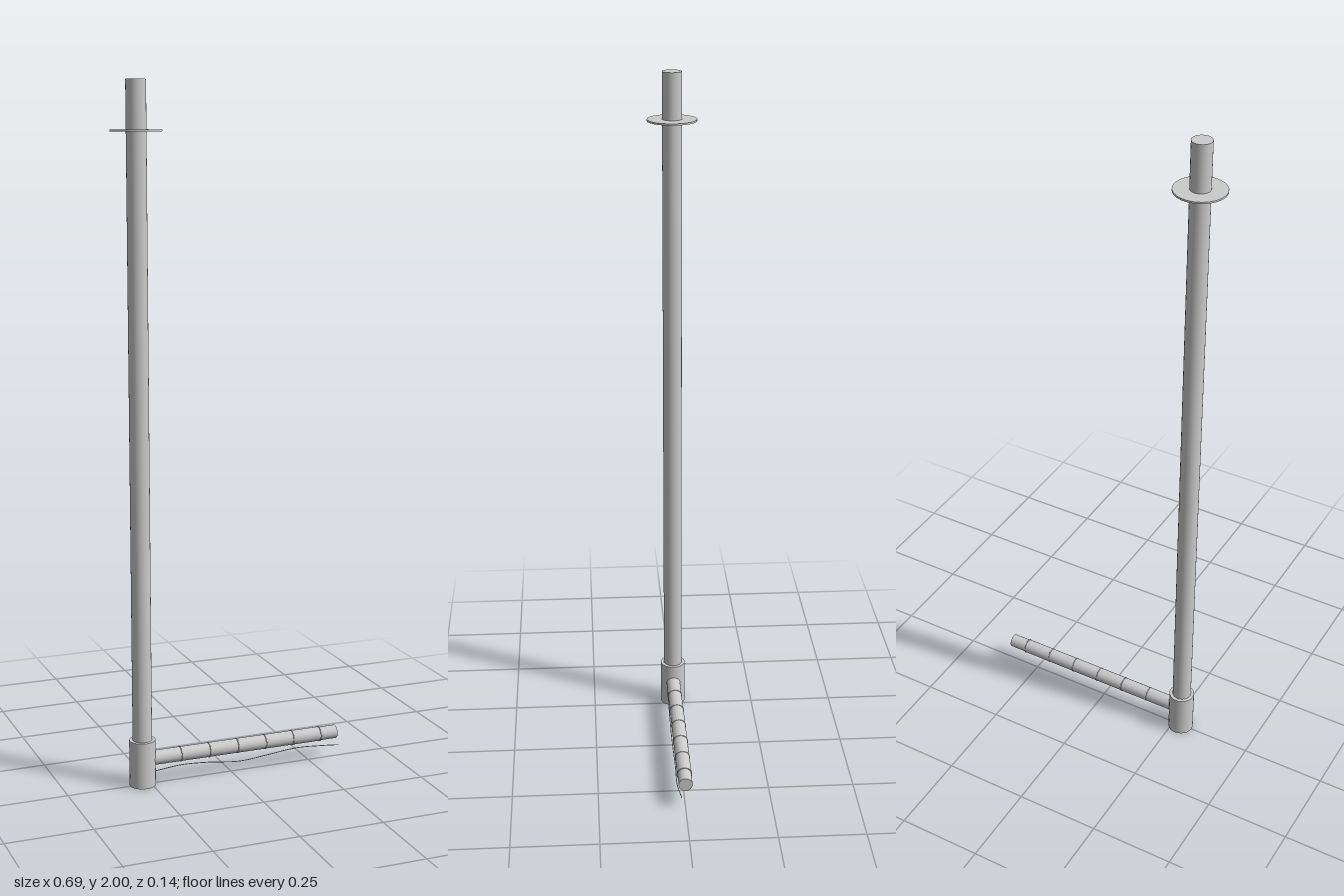
import * as THREE from 'three';

export function createModel() {
  const group = new THREE.Group();
  const material = new THREE.MeshStandardMaterial({ color: 0xcccccc });
  const poleX = -0.275, armY = 0.077;

  const add = (name, geometry, x = 0, y = 0, z = 0) => {
    const mesh = new THREE.Mesh(geometry, material);
    mesh.name = name;
    mesh.position.set(x, y, z);
    group.add(mesh);
    return mesh;
  };

  // Upright cylinder between two heights
  const upright = (name, radius, y0, y1) =>
    add(name, new THREE.CylinderGeometry(radius, radius, y1 - y0, 24), poleX, (y0 + y1) / 2);

  // Cylinder lying along x
  const lying = (name, radius, x0, x1) =>
    add(name, new THREE.CylinderGeometry(radius, radius, x1 - x0, 24).rotateZ(Math.PI / 2), (x0 + x1) / 2, armY);

  // Pole, its base socket and the thin disc near the top
  upright('pole', 0.028, 0.05, 2);
  upright('baseSocket', 0.038, 0, 0.137);
  upright('disc', 0.0715, 1.862, 1.867);

  // Horizontal arm with a sleeve that stops short of the tip
  lying('arm', 0.0202, poleX, 0.338);
  lying('armSleeve', 0.0213, poleX, 0.284);

  // Evenly spaced bands around the arm
  for (let i = 0; i < 6; i++) {
    const ring = new THREE.TorusGeometry(0.0212, 0.0016, 8, 24).rotateY(Math.PI / 2);
    add('armBand', ring, -0.16 + i * 0.0887, armY);
  }

  // Thin wire hanging in waves below the arm
  const path = new THREE.CatmullRomCurve3([
    [-0.245, 0.043, 0.018], [-0.16, 0.051, 0.02], [-0.08, 0.047, 0.021], [0.02, 0.036, 0.021],
    [0.11, 0.043, 0.021], [0.2, 0.051, 0.021], [0.29, 0.046, 0.021], [0.345, 0.037, 0.011],
  ].map((p) => new THREE.Vector3(...p)));
  add('wire', new THREE.TubeGeometry(path, 64, 0.0012, 6));

  return group;
}
